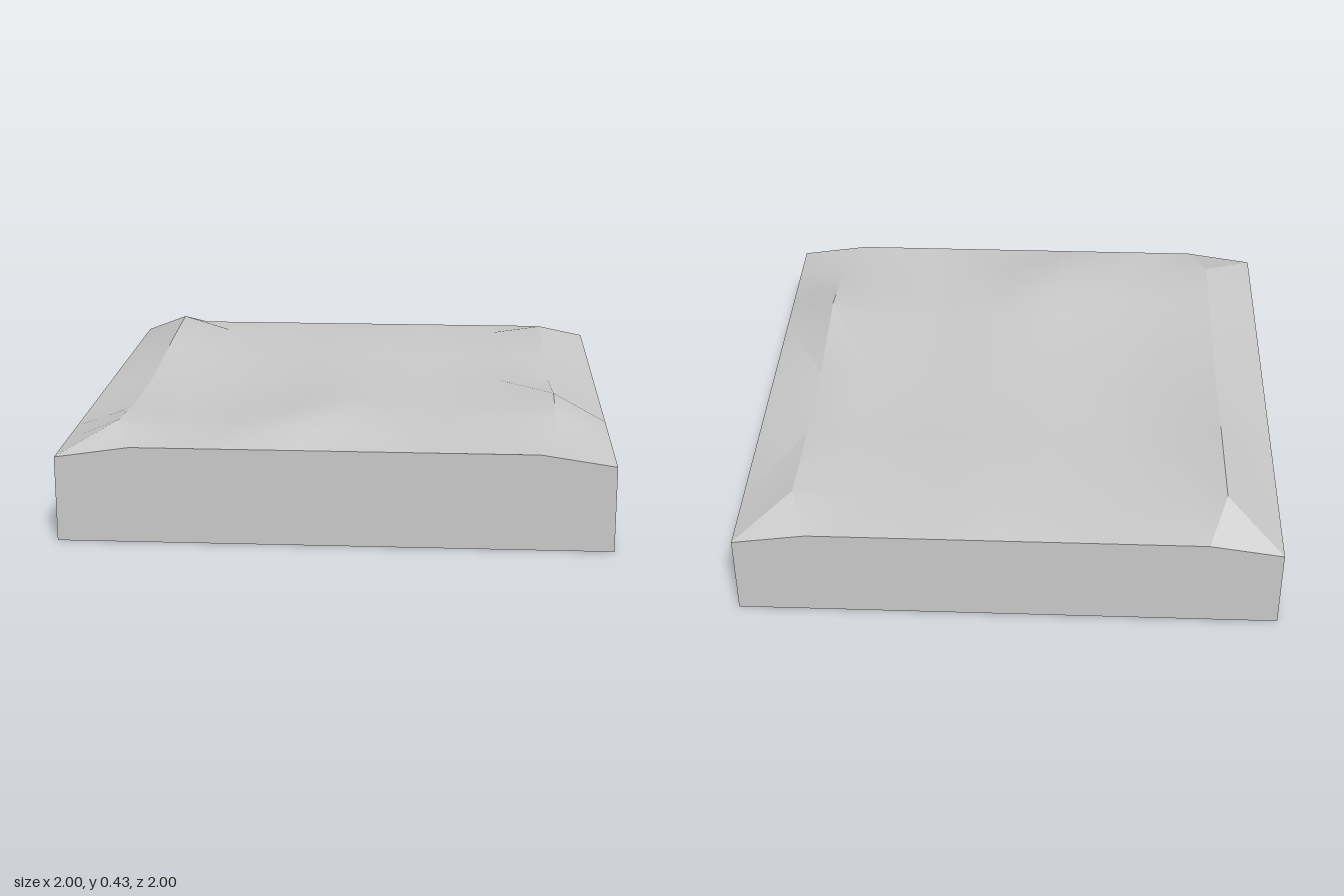
import * as THREE from 'three';
import { toCreasedNormals } from 'three/addons/utils/BufferGeometryUtils.js';

// Inner ground: column and row positions with their heights
const X = [-0.8, -0.6, -0.4, -0.15, 0.05, 0.28, 0.4, 0.6, 0.8];
const Z = [-0.8, -0.4, 0, 0.43, 0.6, 0.8];
const H = [
  [0.425, 0.365, 0.355, 0.37, 0.375, 0.36, 0.37, 0.37, 0.40],
  [0.405, 0.355, 0.35, 0.365, 0.375, 0.355, 0.355, 0.36, 0.37],
  [0.37, 0.35, 0.345, 0.36, 0.37, 0.355, 0.35, 0.36, 0.365],
  [0.37, 0.35, 0.35, 0.385, 0.40, 0.36, 0.36, 0.37, 0.425],
  [0.385, 0.355, 0.36, 0.395, 0.405, 0.36, 0.36, 0.37, 0.395],
  [0.40, 0.365, 0.365, 0.40, 0.375, 0.355, 0.36, 0.355, 0.36],
];
const SIDE = 0.315, RIM = 0.355;
const NX = X.length + 2, NZ = Z.length + 2;

// Grid point including the outer rim
function point(i, j) {
  const sideX = i === 0 || i === NX - 1, endZ = j === 0 || j === NZ - 1;
  let x = sideX ? (i ? 1 : -1) : X[i - 1];
  const z = endZ ? (j ? 1 : -1) : Z[j - 1];
  if (sideX) return [x, SIDE, z];
  if (endZ) {
    if (Math.abs(x) === 0.8) x = Math.sign(x) * 0.73;
    return [x, RIM, z];
  }
  return [x, H[j - 1][i - 1], z];
}

function makeMesh(name, positions, index) {
  let geo = new THREE.BufferGeometry();
  geo.setAttribute('position', new THREE.Float32BufferAttribute(positions, 3));
  geo.setIndex(index);
  geo = toCreasedNormals(geo, 0.35);
  const mesh = new THREE.Mesh(geo, new THREE.MeshStandardMaterial({ color: 0xcccccc }));
  mesh.name = name;
  return mesh;
}

// Uneven top with sloping borders
function makeGround() {
  const pos = [], index = [];
  for (let j = 0; j < NZ; j++) for (let i = 0; i < NX; i++) pos.push(...point(i, j));
  for (let j = 0; j < NZ - 1; j++) for (let i = 0; i < NX - 1; i++) {
    const a = j * NX + i, b = a + 1, c = a + NX, d = c + 1;
    // the split follows the mitre at each corner
    if ((i < NX / 2 - 1) === (j < NZ / 2 - 1)) index.push(a, c, d, a, d, b);
    else index.push(a, c, b, b, c, d);
  }
  return makeMesh('ground', pos, index);
}

// Vertical walls following the rim, closed underneath
function makeBase() {
  const loop = [];
  for (let i = 0; i < NX - 1; i++) loop.push(point(i, NZ - 1));
  for (let j = NZ - 1; j > 0; j--) loop.push(point(NX - 1, j));
  for (let i = NX - 1; i > 0; i--) loop.push(point(i, 0));
  for (let j = 0; j < NZ - 1; j++) loop.push(point(0, j));
  const pos = [], index = [], n = loop.length;
  for (const [x, y, z] of loop) pos.push(x, 0, z, x, y, z);
  pos.push(0, 0, 0);
  for (let k = 0; k < n; k++) {
    const a = 2 * k, b = 2 * ((k + 1) % n);
    index.push(a, b, b + 1, a, b + 1, a + 1, 2 * n, b, a);
  }
  return makeMesh('base', pos, index);
}

export function createModel() {
  const group = new THREE.Group();
  group.name = 'groundTile';
  group.add(makeGround(), makeBase());
  return group;
}
